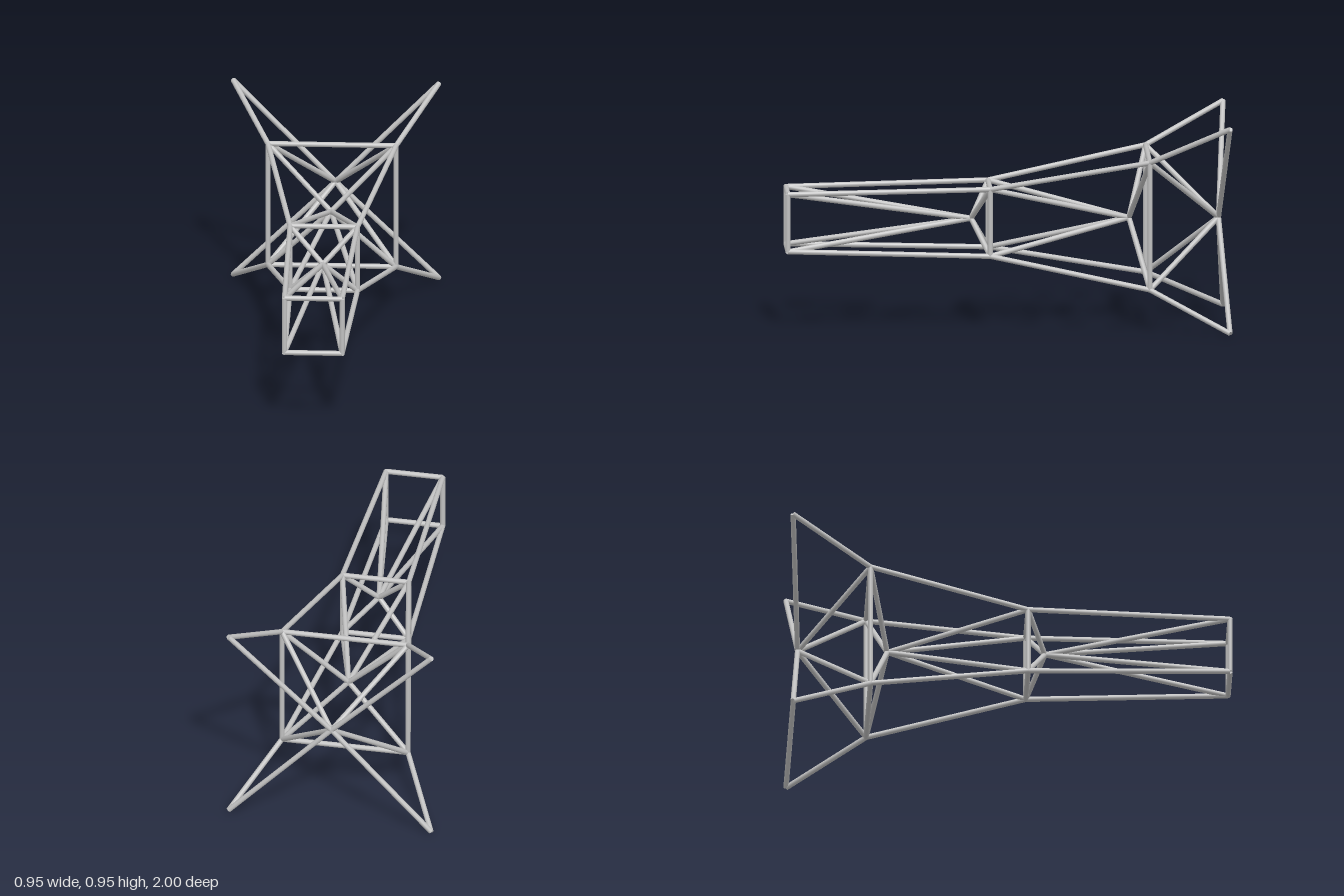
import * as THREE from 'three';

const RADIUS = 0.012;
const CENTER_Y = 0.4725;

export function createModel() {
  const model = new THREE.Group();
  model.name = 'trussFrame';
  const steel = new THREE.MeshStandardMaterial({ color: 0xc0c0c0 });
  steel.name = 'light steel grey';

  // Round bar between two points
  const addBar = (group, a, b) => {
    const dir = b.clone().sub(a);
    const bar = new THREE.Mesh(new THREE.CylinderGeometry(RADIUS, RADIUS, dir.length(), 12), steel);
    bar.name = group.name + 'Bar';
    bar.position.copy(a).add(b).multiplyScalar(0.5);
    bar.quaternion.setFromUnitVectors(new THREE.Vector3(0, 1, 0), dir.normalize());
    group.add(bar);
  };
  const addGroup = (name) => {
    const group = new THREE.Group();
    group.name = name;
    model.add(group);
    return group;
  };

  // Four corners of a square station along the axis
  const station = (half, z) => [[1, 1], [-1, 1], [-1, -1], [1, -1]].map(
    ([x, y]) => new THREE.Vector3(x * half, CENTER_Y + y * half, z));
  const stations = [
    station(0.13, 0.988),
    station(0.152, 0.077),
    station(0.289, -0.638),
    station(0.464, -0.993),
  ];
  const hubs = [0.158, -0.553, -0.957].map((z) => new THREE.Vector3(0, CENTER_Y, z));

  // Square rings; the rear tips stay free
  ['frontRing', 'middleRing', 'rearRing'].forEach((name, s) => {
    const ring = addGroup(name);
    stations[s].forEach((p, i) => addBar(ring, p, stations[s][(i + 1) % 4]));
  });

  // Each bay has four long rails and eight braces meeting at its hub
  ['front', 'middle', 'rear'].forEach((bay, s) => {
    const rails = addGroup(bay + 'Rail');
    const braces = addGroup(bay + 'Brace');
    for (let i = 0; i < 4; i++) {
      addBar(rails, stations[s][i], stations[s + 1][i]);
      addBar(braces, stations[s][i], hubs[s]);
      addBar(braces, stations[s + 1][i], hubs[s]);
    }
  });

  return model;
}
